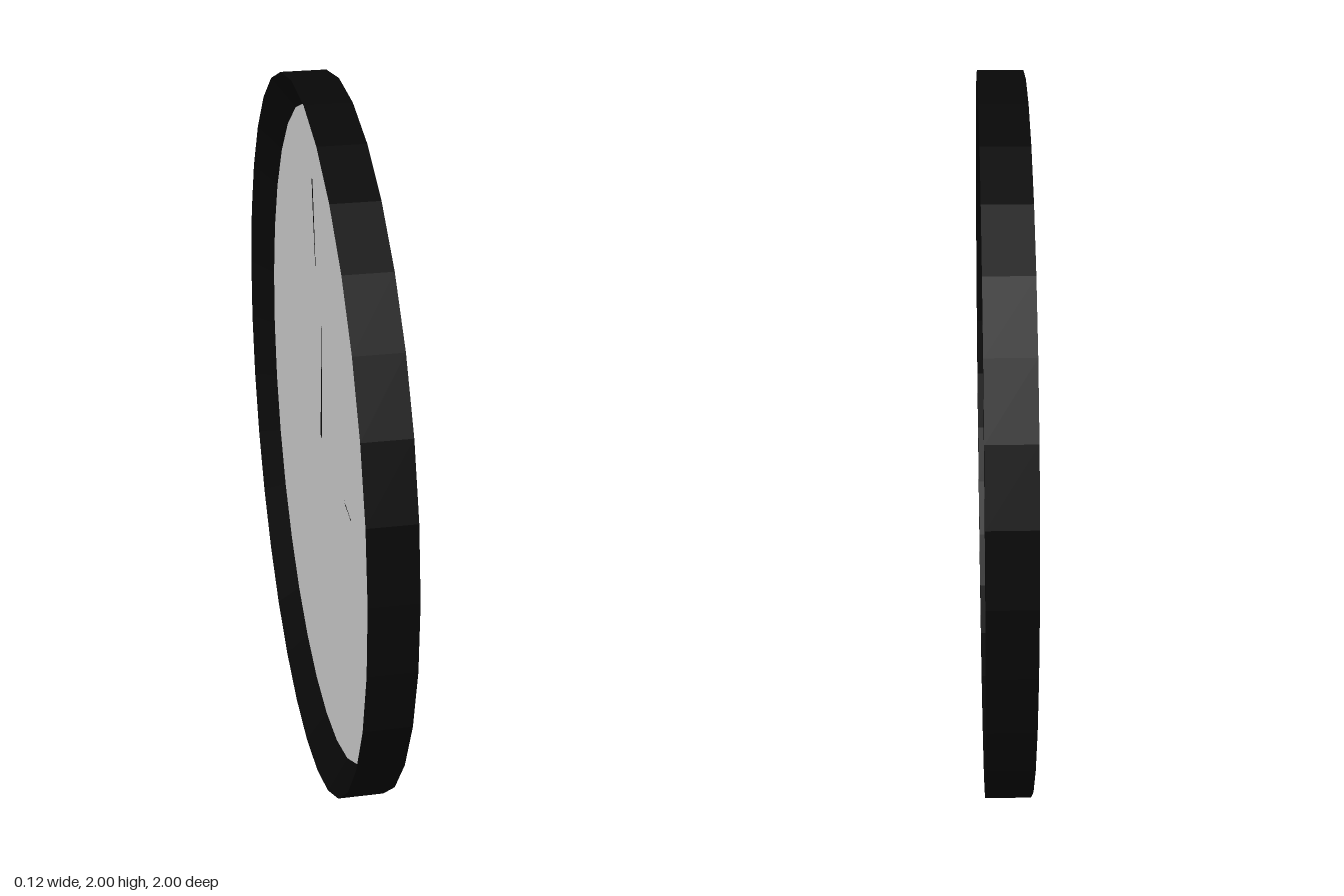
import * as THREE from 'three';

const SIDES = 32;
const OUTER = 1.005, INNER = 0.92, HALF = 0.0625;

export function createModel() {
  const model = new THREE.Group();
  model.name = 'wallClock';
  const black = new THREE.MeshStandardMaterial({ color: 0x080808, flatShading: true });
  const grey = new THREE.MeshStandardMaterial({ color: 0xcccccc, side: THREE.DoubleSide });

  // Everything is built around the clock's centre, dial facing +x
  const clock = new THREE.Group();
  clock.name = 'clock';
  clock.position.y = 1;
  model.add(clock);

  const add = (name, geometry, material) => {
    const mesh = new THREE.Mesh(geometry, material);
    mesh.name = name;
    clock.add(mesh);
    return mesh;
  };

  // Rim: straight outer wall, flat front, recessed dial, bevelled back
  const profile = [
    [INNER, 0], [OUTER, -HALF], [OUTER, HALF], [INNER, HALF], [INNER, 0],
  ].map(([r, h]) => new THREE.Vector2(r, h));
  const rim = new THREE.LatheGeometry(profile, SIDES, Math.PI / SIDES);
  rim.rotateZ(-Math.PI / 2);

  // One corner of the front inner edge is flattened onto its neighbours' chord
  const pos = rim.attributes.position;
  const step = (2 * Math.PI) / SIDES;
  for (let i = 0; i < pos.count; i++) {
    const y = pos.getY(i), z = pos.getZ(i);
    const offset = Math.abs(Math.atan2(z, y) - 1.5 * step);
    if (pos.getX(i) > 0.01 && Math.hypot(y, z) < 0.95 && offset < 0.01) {
      pos.setY(i, y * Math.cos(step));
      pos.setZ(i, z * Math.cos(step));
    }
  }
  add('rim', rim, black);

  // Dial, set halfway into the rim
  const dial = new THREE.CircleGeometry(INNER, SIDES, Math.PI / SIDES);
  dial.rotateY(Math.PI / 2);
  add('dial', dial, grey);

  // Hands: thin bars from the centre to a tip given as (z, y)
  const hand = (name, tipZ, tipY, width, depth) => {
    const length = Math.hypot(tipZ, tipY);
    const bar = new THREE.BoxGeometry(depth, length + 0.01, width);
    bar.translate(depth / 2, length / 2 - 0.005, 0);
    const mesh = add(name, bar, black);
    mesh.position.z = -0.005;
    mesh.rotation.x = Math.atan2(tipZ, tipY);
  };
  hand('hourHand', 0.46, 0.005, 0.028, 0.022);
  hand('minuteHand', 0, 0.63, 0.024, 0.024);
  hand('secondHand', -0.15, 0.705, 0.015, 0.026);

  return model;
}
